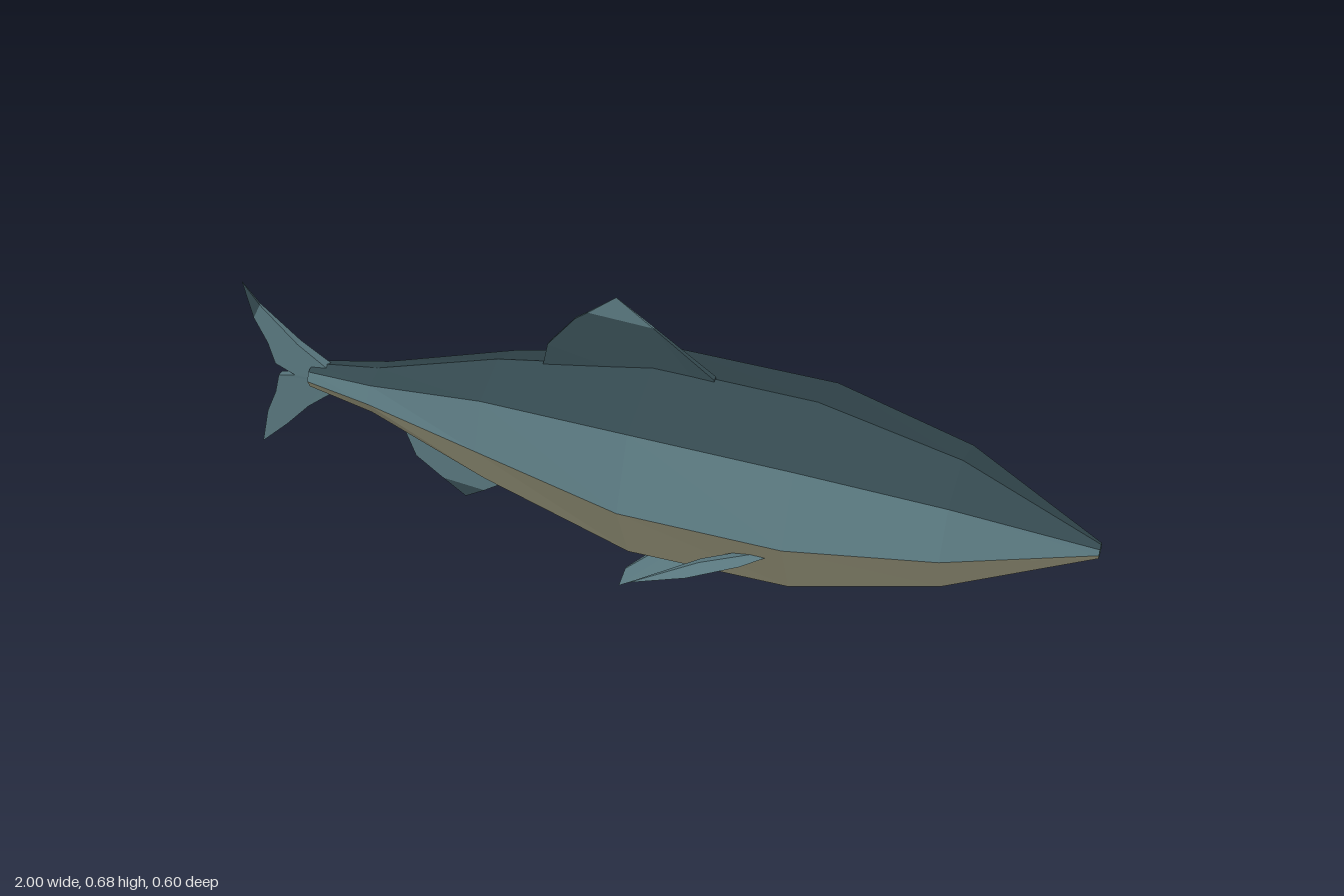
import * as THREE from 'three';

function mat(name, color) {
  const m = new THREE.MeshStandardMaterial({ color, flatShading: true });
  m.name = name;
  return m;
}

// Non-indexed triangles from a list of Vector3 corners
function triMesh(name, corners, material) {
  const g = new THREE.BufferGeometry().setFromPoints(corners);
  g.computeVertexNormals();
  const m = new THREE.Mesh(g, material);
  m.name = name;
  return m;
}

// Thin blade: outline points [x, y, half thickness]; place(y) gives the sideways offset of the blade
function fin(name, outline, material, place = () => 0) {
  let pts = outline.map(([x, y, t]) => ({ x, y, t }));
  if (THREE.ShapeUtils.area(pts) < 0) pts = pts.reverse();
  const at = (p, s) => new THREE.Vector3(p.x, p.y, place(p.y) + s * p.t);
  const corners = [];
  const flat = pts.map((p) => new THREE.Vector2(p.x, p.y));
  for (const [a, b, c] of THREE.ShapeUtils.triangulateShape(flat, [])) {
    corners.push(at(pts[a], 1), at(pts[b], 1), at(pts[c], 1));
    corners.push(at(pts[a], -1), at(pts[c], -1), at(pts[b], -1));
  }
  pts.forEach((p, i) => {
    const q = pts[(i + 1) % pts.length];
    corners.push(at(p, 1), at(p, -1), at(q, -1), at(p, 1), at(q, -1), at(q, 1));
  });
  return triMesh(name, corners, material);
}

export function createModel() {
  const root = new THREE.Group();
  root.name = 'fish';
  const back = mat('dark back', 0x34494f);
  const side = mat('blue grey side', 0x58767d);
  const belly = mat('olive belly', 0x939177);

  // Body cross-sections, nose to tail: x, centre y, half height, half width
  const sections = [
    [1, 0.285, 0.017, 0.017],
    [0.69, 0.296, 0.15, 0.165],
    [0.37, 0.297, 0.222, 0.24],
    [0, 0.297, 0.229, 0.24],
    [-0.37, 0.303, 0.153, 0.148],
    [-0.67, 0.307, 0.053, 0.072],
    [-0.84, 0.304, 0.029, 0.035],
  ];
  const P = (i, k) => {
    const [x, y, h, w] = sections[i];
    const a = (k * Math.PI) / 4;
    return new THREE.Vector3(x, y + h * Math.sin(a), w * Math.cos(a));
  };
  const strips = (facets) => {
    const c = [];
    for (let i = 0; i < sections.length - 1; i++) {
      for (const k of facets) {
        c.push(P(i, k), P(i, k + 1), P(i + 1, k + 1), P(i, k), P(i + 1, k + 1), P(i + 1, k));
      }
    }
    return c;
  };
  const caps = [];
  const last = sections.length - 1;
  for (let k = 1; k < 7; k++) {
    caps.push(P(0, 0), P(0, k + 1), P(0, k));
    caps.push(P(last, 0), P(last, k), P(last, k + 1));
  }
  root.add(
    triMesh('bodyBack', strips([1, 2]), back),
    triMesh('bodySides', strips([0, 3]), side),
    triMesh('bodyBelly', strips([4, 5, 6, 7]), belly),
    triMesh('noseAndTailEnds', caps, side)
  );

  // Dorsal fin with a paler tip
  root.add(
    fin('dorsalFin', [[-0.26, 0.46, 0.008], [-0.245, 0.53, 0.007], [-0.18, 0.61, 0.004],
      [-0.15, 0.632, 0.003], [0, 0.625, 0.003], [0.14, 0.525, 0.007], [0.14, 0.46, 0.008]], back),
    fin('dorsalFinTip', [[-0.15, 0.632, 0.003], [-0.085, 0.684, 0.0005], [0, 0.625, 0.003]], side)
  );

  // Anal fin with a dark tip
  root.add(
    fin('analFin', [[-0.61, 0.28, 0.007], [-0.62, 0.22, 0.006], [-0.59, 0.13, 0.004],
      [-0.525, 0.08, 0.003], [-0.42, 0.07, 0.003], [-0.38, 0.098, 0.004],
      [-0.28, 0.137, 0.006], [-0.28, 0.22, 0.007]], side),
    fin('analFinTip', [[-0.525, 0.08, 0.003], [-0.47, 0.038, 0.0005], [-0.42, 0.07, 0.003]], back)
  );

  // Forked tail
  root.add(
    fin('tailUpperLobe', [[-0.79, 0.33, 0.012], [-0.87, 0.385, 0.009], [-0.96, 0.47, 0.003],
      [-0.98, 0.43, 0.003], [-0.95, 0.37, 0.006], [-0.935, 0.315, 0.008],
      [-0.885, 0.295, 0.01], [-0.8, 0.295, 0.012]], side),
    fin('tailUpperTip', [[-0.96, 0.47, 0.003], [-1, 0.524, 0.0005], [-0.98, 0.43, 0.003]], back),
    fin('tailLowerLobe', [[-0.8, 0.295, 0.012], [-0.885, 0.295, 0.01], [-0.93, 0.283, 0.008],
      [-0.945, 0.23, 0.006], [-0.975, 0.165, 0.003], [-1, 0.067, 0.0005],
      [-0.925, 0.14, 0.006], [-0.86, 0.21, 0.009], [-0.79, 0.268, 0.012]], side)
  );

  // Paired fins, sloping outward and down
  for (const [label, s] of [['front', 1], ['rear', -1]]) {
    root.add(
      fin(label + 'PectoralFin', [[0.34, 0.253, 0.008], [0.3, 0.25, 0.009], [0.19, 0.22, 0.007],
        [0.05, 0.166, 0.001], [0.17, 0.193, 0.006], [0.28, 0.228, 0.009]], side,
      (y) => s * (0.208 + (0.25 - y) * 1.09)),
      fin(label + 'PelvicFin', [[0.2, 0.102, 0.009], [0.07, 0.05, 0.006], [-0.035, 0, 0.0005],
        [-0.027, 0.035, 0.003], [0.02, 0.07, 0.006], [0.07, 0.1, 0.009], [0.12, 0.125, 0.01]], side,
      (y) => s * (0.07 + (0.1 - y) * 0.69))
    );
  }
  return root;
}
